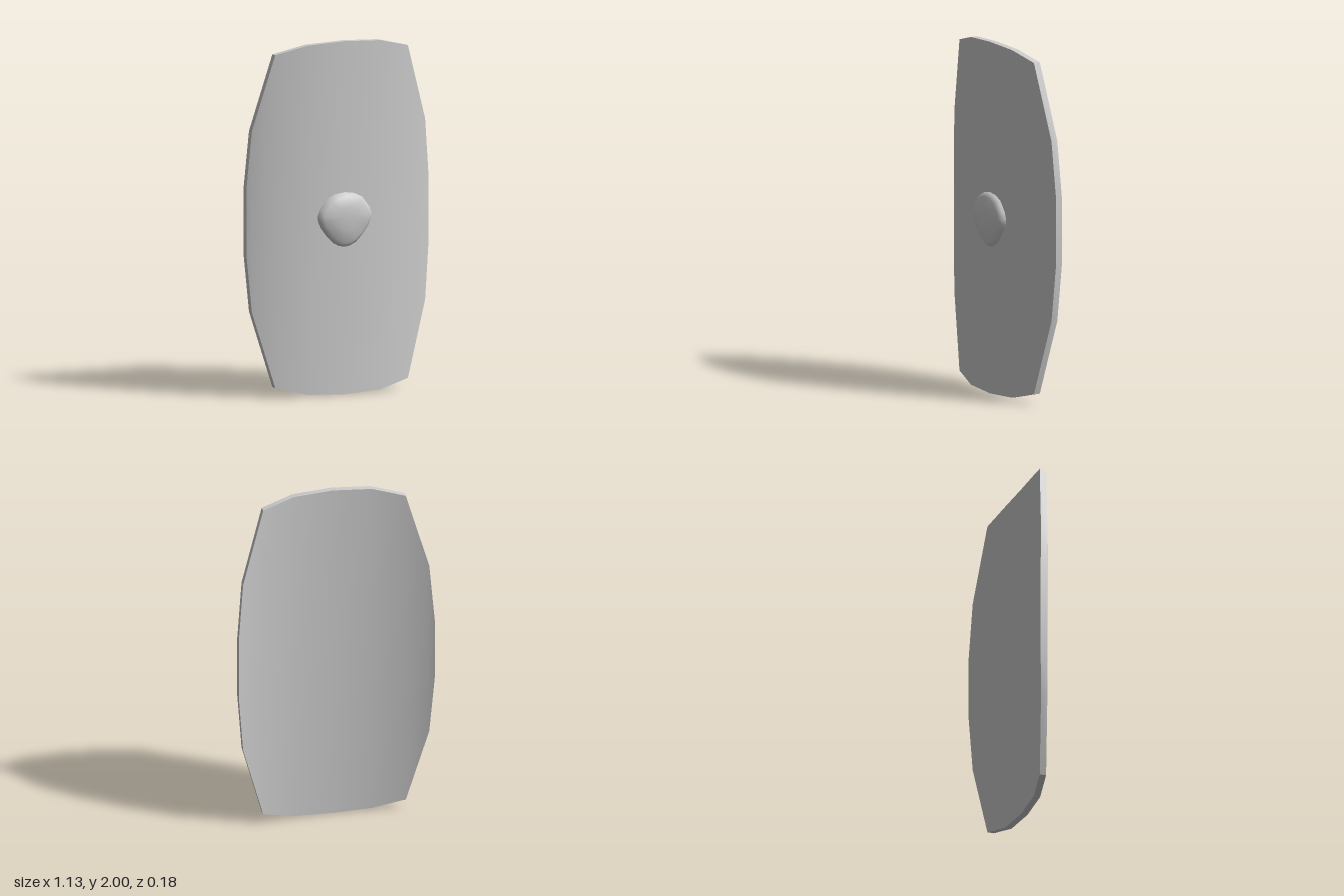
import * as THREE from 'three';
import { toCreasedNormals } from 'three/addons/utils/BufferGeometryUtils.js';

const steel = new THREE.MeshStandardMaterial({ color: 0xcccccc });
steel.name = 'pale grey';

function indexed(positions, index) {
  const g = new THREE.BufferGeometry();
  g.setAttribute('position', new THREE.Float32BufferAttribute(positions, 3));
  g.setIndex(index);
  return g;
}

// Curved board: upright columns across the width, each with [x, half height, front z]
function shieldGeometry() {
  const half = [[0, 1, 0.045], [0.225, 0.989, 0.035], [0.41, 0.942, 0], [0.535, 0.512, -0.04], [0.563, 0.18, -0.054]];
  const columns = [...half.slice(1).reverse().map(([x, h, z]) => [-x, h, z]), ...half];
  const thickness = 0.038;
  const positions = [], index = [];
  const quad = (a, b, c, d) => index.push(a, b, c, a, c, d);
  // per column: front bottom, front top, back bottom, back top
  for (const [x, h, z] of columns) {
    positions.push(x, 1 - h, z, x, 1 + h, z, x, 1 - h, z - thickness, x, 1 + h, z - thickness);
  }
  const last = (columns.length - 1) * 4;
  for (let a = 0; a < last; a += 4) {
    const b = a + 4;
    quad(a, b, b + 1, a + 1);         // front
    quad(b + 2, a + 2, a + 3, b + 3); // back
    quad(a + 1, b + 1, b + 3, a + 3); // top rim
    quad(a + 2, b + 2, b, a);         // bottom rim
  }
  quad(2, 0, 1, 3);
  quad(last, last + 2, last + 3, last + 1);
  return toCreasedNormals(indexed(positions, index), 0.6);
}

// Boss: rounded, slightly pointed outline lofted inward to a low peak
function bossGeometry() {
  const side = [[0, -0.18], [0.035, -0.173], [0.07, -0.155], [0.11, -0.115], [0.15, -0.06], [0.165, -0.025],
    [0.17, 0.005], [0.155, 0.045], [0.11, 0.105], [0.06, 0.13], [0, 0.14]];
  const outline = [...side, ...side.slice(1, -1).reverse().map(([x, y]) => [-x, y])];
  const rings = [[1, 0.033], [0.94, 0.055], [0.81, 0.075], [0.42, 0.085]]; // scale, z
  const n = outline.length;
  const positions = [], index = [];
  for (const [s, z] of rings) for (const [x, y] of outline) positions.push(x * s, 1.01 + y * s, z);
  positions.push(0, 1.01, 0.09);
  const peak = rings.length * n;
  for (let i = 0; i < n; i++) {
    const j = (i + 1) % n;
    for (let r = 0; r < peak - n; r += n) {
      index.push(r + i, r + j, r + n + j, r + i, r + n + j, r + n + i);
    }
    index.push(peak - n + i, peak - n + j, peak);
  }
  const g = indexed(positions, index);
  g.computeVertexNormals();
  return g;
}

export function createModel() {
  const model = new THREE.Group();
  model.name = 'shield';
  const board = new THREE.Mesh(shieldGeometry(), steel);
  board.name = 'board';
  const boss = new THREE.Mesh(bossGeometry(), steel);
  boss.name = 'boss';
  model.add(board, boss);
  return model;
}
